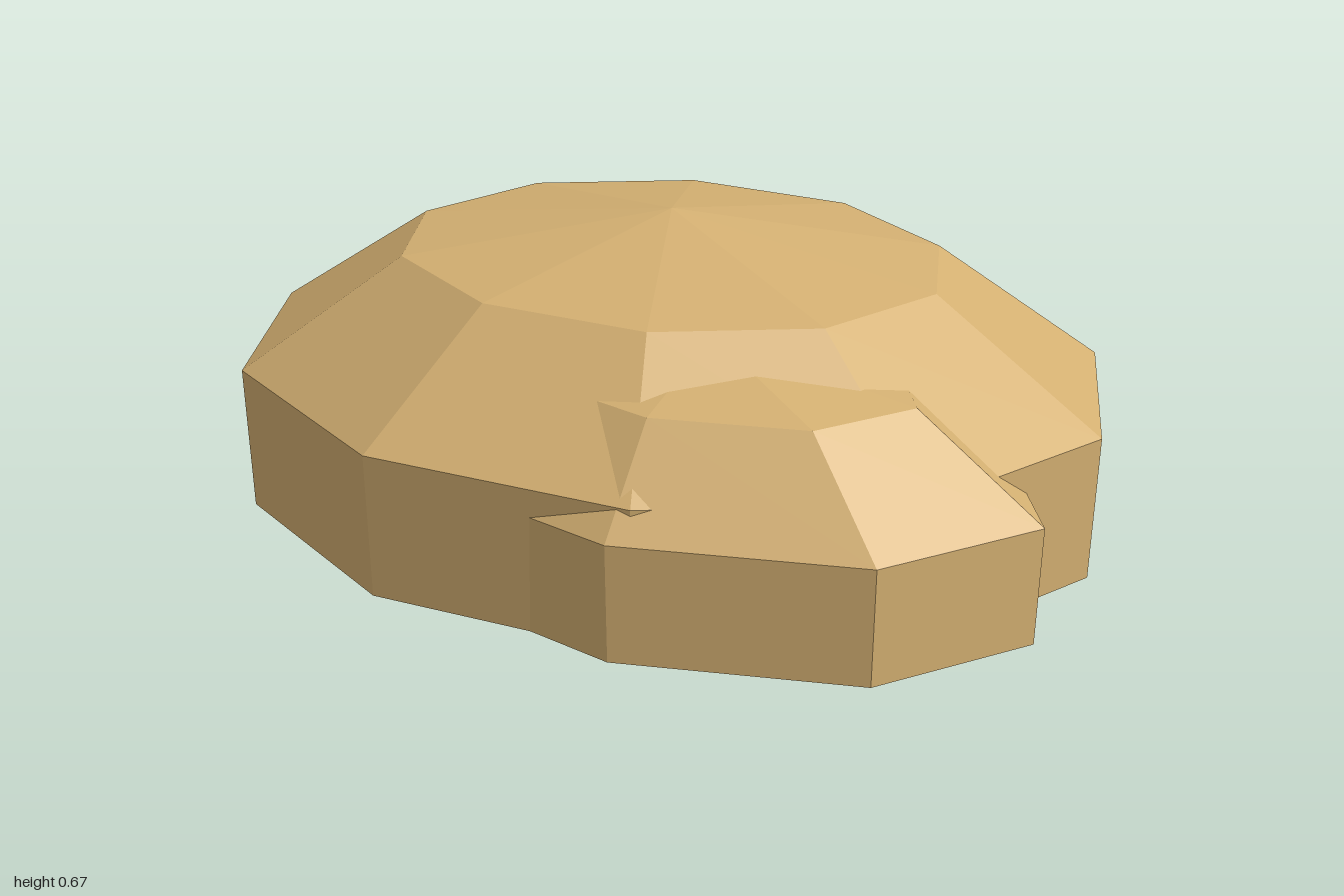
import * as THREE from 'three';

// Faceted mound: a low-sided lathe squashed along z, with flat facets
function mound(name, sides, profile, depthScale, x, z, material) {
  const points = profile.map(([r, y]) => new THREE.Vector2(r, y));
  const lathe = new THREE.LatheGeometry(points, sides, Math.PI / 2);
  lathe.scale(1, 1, depthScale);
  const geometry = lathe.toNonIndexed();
  geometry.computeVertexNormals();
  const mesh = new THREE.Mesh(geometry, material);
  mesh.name = name;
  mesh.position.set(x, 0, z);
  return mesh;
}

export function createModel() {
  const sand = new THREE.MeshStandardMaterial({ color: 0xd4b072 });
  sand.name = 'sand';

  const group = new THREE.Group();
  group.name = 'sandMound';

  // Large ten-sided mound: base, wall top, shoulder, peak
  group.add(mound('mainMound', 10,
    [[0, 0], [0.976, 0], [0.993, 0.315], [0.618, 0.57], [0, 0.667]],
    0.818, -0.006, -0.028, sand));

  // Smaller eight-sided mound pushed into its front left
  group.add(mound('sideMound', 8,
    [[0, 0], [0.717, 0], [0.73, 0.254], [0.452, 0.458], [0, 0.536]],
    0.643, 0.27, 0.325, sand));

  return group;
}
